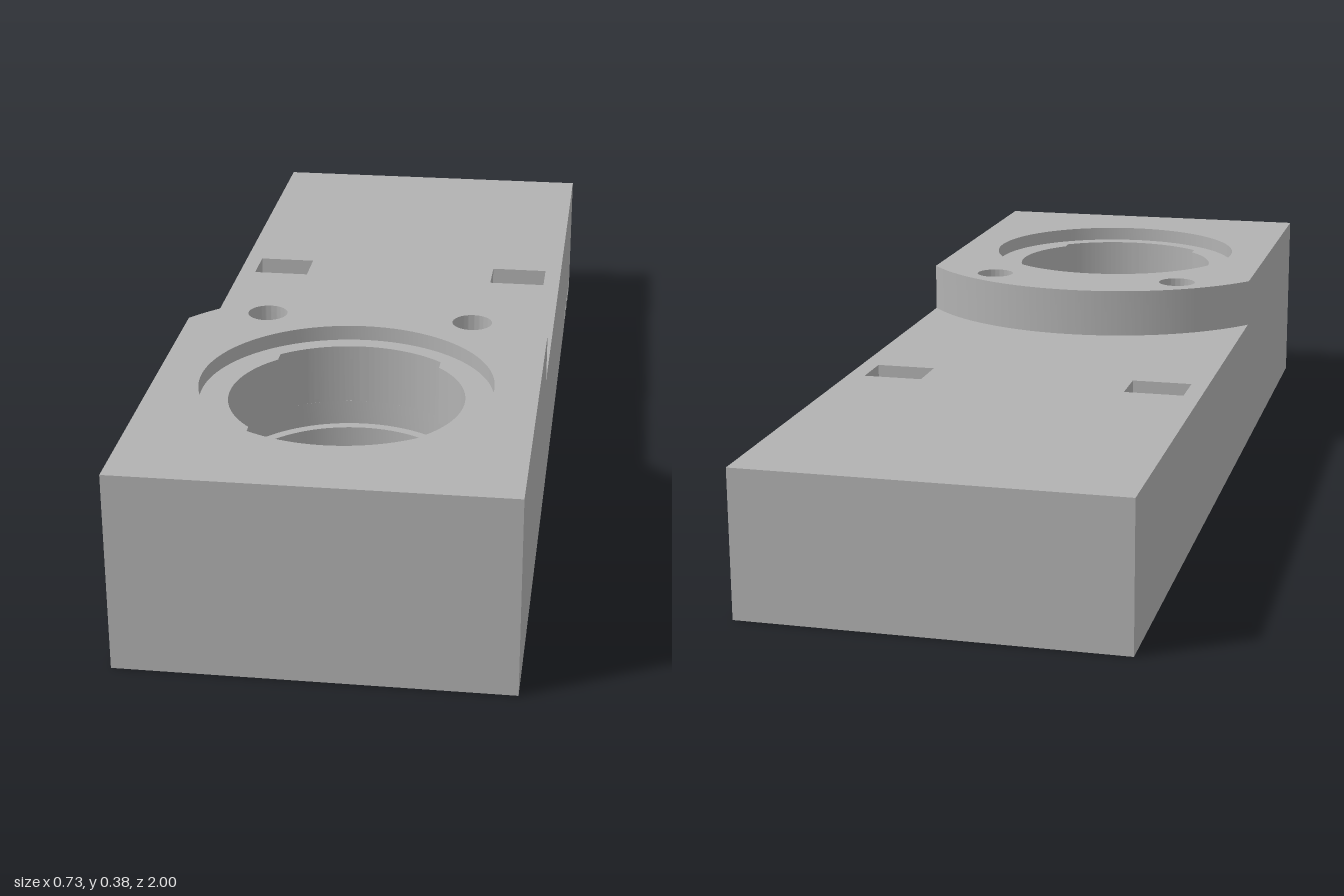
import * as THREE from 'three';
import { toCreasedNormals } from 'three/addons/utils/BufferGeometryUtils.js';

const W = 0.365, L = 1, WALL = 0.063;          // half width, half length, wall thickness
const ROOF = 0.16, DECK = 0.285, TOP = 0.385;  // underside of the deck, deck top, raised block top
const BORE_Z = 0.555, BORE = 0.225, GROOVE = 0.245, RIM = 0.28;
const GROOVE_LOW = 0.185, GROOVE_HIGH = 0.235, LIP_TOP = 0.355;

export function createModel() {
  const group = new THREE.Group();
  const grey = new THREE.MeshStandardMaterial({ color: 0xb2b2b2 });
  grey.name = 'grey';

  const add = (name, geometry) => {
    const mesh = new THREE.Mesh(geometry, grey);
    mesh.name = name;
    group.add(mesh);
    return mesh;
  };
  const box = (name, w, h, d, x, y, z) =>
    add(name, new THREE.BoxGeometry(w, h, d)).position.set(x, y, z);

  // Plan shapes use x and -z, and are extruded upwards from y0 to y1
  const slab = (name, shape, y0, y1) => {
    const g = new THREE.ExtrudeGeometry(shape, { depth: y1 - y0, bevelEnabled: false, curveSegments: 64 });
    g.rotateX(-Math.PI / 2).translate(0, y0, 0);
    return add(name, toCreasedNormals(g, 0.5));
  };
  const rect = (path, x0, x1, z0, z1) => {
    path.moveTo(x0, -z1).lineTo(x1, -z1).lineTo(x1, -z0).lineTo(x0, -z0);
    path.closePath();
    return path;
  };
  const circle = (x, z, r) => new THREE.Path().absarc(x, -z, r, 0, Math.PI * 2);

  // Skirt walls
  box('frontWall', 2 * W, ROOF, WALL, 0, ROOF / 2, L - WALL / 2);
  box('backWall', 2 * W, ROOF, WALL, 0, ROOF / 2, -L + WALL / 2);
  box('rightWall', WALL, ROOF, 2 * (L - WALL), -W + WALL / 2, ROOF / 2, 0);

  // Left wall with four small cable notches in its lower edge
  const side = new THREE.Shape();
  const end = L - 0.001, half = 0.0185, high = 0.042, c = 0.008;
  side.moveTo(-end, 0);
  for (let i = 0; i < 4; i++) {
    const u = 0.75 + i * 0.062;
    side.lineTo(u - half, 0).lineTo(u - half, high - c).lineTo(u - half + c, high);
    side.lineTo(u + half - c, high).lineTo(u + half, high - c).lineTo(u + half, 0);
  }
  side.lineTo(end, 0).lineTo(end, ROOF).lineTo(-end, ROOF);
  side.closePath();
  const sideGeometry = new THREE.ExtrudeGeometry(side, { depth: WALL, bevelEnabled: false });
  add('leftNotchedWall', sideGeometry.rotateY(Math.PI / 2).translate(W - WALL, 0, 0));

  // Deck in two layers, the upper one with two blind pockets
  const lower = rect(new THREE.Shape(), -W, W, -L, L);
  lower.holes.push(circle(0, BORE_Z, RIM));
  slab('deckBase', lower, ROOF, GROOVE_HIGH);
  const upper = rect(new THREE.Shape(), -W, W, -L, L);
  upper.holes.push(circle(0, BORE_Z, RIM));
  for (const x of [-0.27, 0.27]) {
    upper.holes.push(rect(new THREE.Path(), x - 0.06, x + 0.06, -0.35, -0.26));
  }
  slab('deckWithPockets', upper, GROOVE_HIGH, DECK);

  // Raised block with a round back edge, a wide rim recess and two screw holes
  const block = new THREE.Shape();
  const R = 0.46, a0 = Math.acos(W / R);
  block.moveTo(-W, -L).lineTo(W, -L);
  block.absarc(0, -BORE_Z, R, a0, Math.PI - a0);
  block.closePath();
  block.holes.push(circle(0, BORE_Z, RIM));
  for (const x of [-0.21, 0.21]) block.holes.push(circle(x, 0.228, 0.04));
  slab('raisedBlock', block, DECK, TOP);

  // Lip inside the recess, with two bayonet openings at front and back
  const lip = new THREE.Shape().absarc(0, 0, RIM, 0, Math.PI * 2);
  const a = Math.acos(0.16 / BORE), b = Math.acos(0.16 / GROOVE);
  const opening = new THREE.Path();
  opening.absarc(0, 0, BORE, -a, a);
  opening.absarc(0, 0, GROOVE, b, Math.PI - b);
  opening.absarc(0, 0, BORE, Math.PI - a, Math.PI + a);
  opening.absarc(0, 0, GROOVE, Math.PI + b, 2 * Math.PI - b);
  opening.closePath();
  lip.holes.push(opening);
  slab('bayonetLip', lip, GROOVE_HIGH, LIP_TOP).position.z = BORE_Z;

  // Tube below the lip, with a locking groove around its upper end
  const profile = [
    [BORE, 0], [RIM, 0], [RIM, GROOVE_HIGH], [GROOVE, GROOVE_HIGH],
    [GROOVE, GROOVE_LOW], [BORE, GROOVE_LOW], [BORE, 0],
  ].map(([r, y]) => new THREE.Vector2(r, y));
  const tube = new THREE.LatheGeometry(profile, 96).toNonIndexed();
  tube.deleteAttribute('normal');
  add('lensTube', toCreasedNormals(tube, 0.5)).position.z = BORE_Z;

  return group;
}
